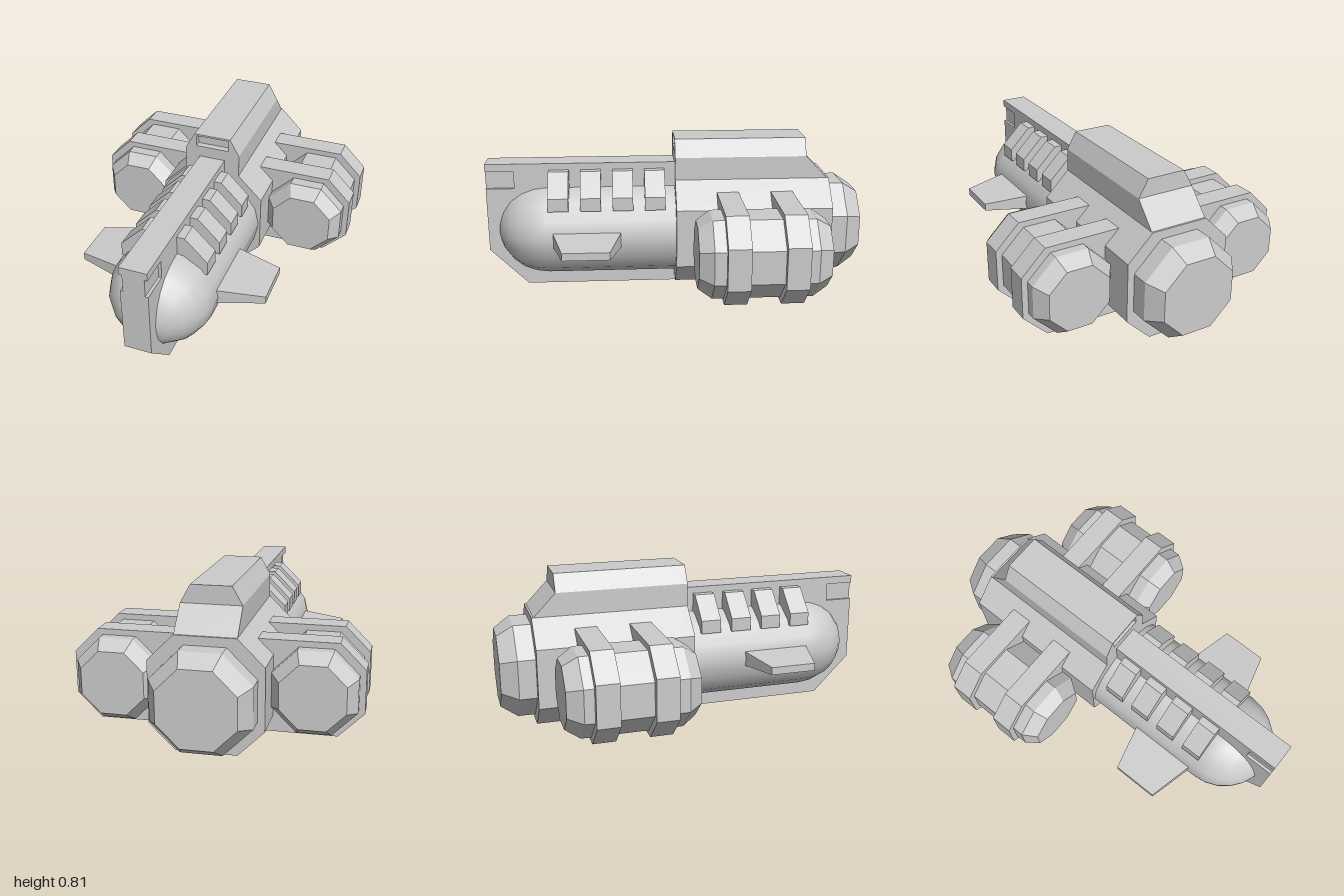
import * as THREE from 'three';

const material = new THREE.MeshStandardMaterial({ color: 0xcccccc, flatShading: true });
const smooth = new THREE.MeshStandardMaterial({ color: 0xcccccc });
const MID = 0.31; // height of the hull and engine axes

const toShape = pts => new THREE.Shape(pts.map(p => new THREE.Vector2(...p)));
const mirrored = pts => [...pts, ...pts.map(([x, y]) => [-x, y]).reverse()];

// Outline in (x, y), extruded from z0 to z1
function extrudeZ(shape, z0, z1) {
  return new THREE.ExtrudeGeometry(shape, { depth: z1 - z0, bevelEnabled: false }).translate(0, 0, z0);
}

// Outline in (z, y), extruded across x
function extrudeX(pts, width) {
  return extrudeZ(toShape(pts), -width / 2, width / 2).rotateY(-Math.PI / 2);
}

// Profile of [radius, z] turned about the z axis
function turned(profile, sides) {
  return new THREE.LatheGeometry(profile.map(p => new THREE.Vector2(...p)), sides)
    .rotateY(Math.PI / sides).rotateX(Math.PI / 2);
}

// Octagonal drum: radii are measured to the flats
function drum(profile) {
  return turned(profile.map(([r, z]) => [r / Math.cos(Math.PI / 8), z]), 8);
}

// Tapered fin from cross-sections at root and tip
function finGeometry() {
  const section = (x, z0, z1, y0, y1) => [[x, y0, z0], [x, y0, z1], [x, y1, z1], [x, y1, z0]];
  const v = [...section(0.22, 0.275, 0.65, 0.27, 0.355), ...section(0.495, 0.34, 0.58, 0.293, 0.333)];
  const index = [0, 1, 2, 0, 2, 3, 4, 6, 5, 4, 7, 6];
  for (let i = 0; i < 4; i++) {
    const j = (i + 1) % 4;
    index.push(i, i + 4, j, j, i + 4, j + 4);
  }
  const g = new THREE.BufferGeometry();
  g.setAttribute('position', new THREE.Float32BufferAttribute(v.flat(), 3));
  g.setIndex(index);
  // face the surfaces outward
  const a = g.index.array;
  const p = v.map(c => new THREE.Vector3(...c));
  const centre = p.reduce((s, c) => s.add(c), new THREE.Vector3()).divideScalar(8);
  for (let i = 0; i < a.length; i += 3) {
    const [A, B, C] = [p[a[i]], p[a[i + 1]], p[a[i + 2]]];
    const n = B.clone().sub(A).cross(C.clone().sub(A));
    if (n.dot(A.clone().sub(centre)) < 0) [a[i + 1], a[i + 2]] = [a[i + 2], a[i + 1]];
  }
  const flat = g.toNonIndexed();
  flat.computeVertexNormals();
  return flat;
}

export function createModel() {
  const model = new THREE.Group();
  const add = (name, geometry, parent = model, mat = material) => {
    const mesh = new THREE.Mesh(geometry, mat);
    mesh.name = name;
    parent.add(mesh);
    return mesh;
  };

  // Rounded front hull
  const nose = [[0.27, -0.1]];
  for (let i = 0; i <= 6; i++) {
    const t = (i / 6) * Math.PI / 2;
    nose.push([Math.max(0, 0.27 * Math.cos(t)), 0.68 + 0.27 * Math.sin(t)]);
  }
  const hull = turned(nose, 16).rotateZ(Math.PI / 16).scale(1, 0.25 / 0.27, 1).translate(0, MID, 0);
  add('hull', hull, model, smooth);

  // Keel with a notch on each side of its upper front
  add('keel', extrudeX([[0.8, 0], [1, 0.2], [1, 0.545], [0.85, 0.545], [0.85, 0.64],
    [1, 0.64], [1, 0.68], [-0.69, 0.68], [-0.69, 0], [-0.69, 0]].slice(0, 9), 0.14));
  add('keelNotchCore', new THREE.BoxGeometry(0.11, 0.095, 0.15).translate(0, 0.5925, 0.925));

  // Rear body and tower, with a recessed window in the front plate
  const lower = [[0.15, 0.03], [0.28, 0.16], [0.28, 0.47], [0.15, 0.6]];
  const full = mirrored([...lower, [0.15, 0.72], [0.1, 0.81]]);
  const plate = toShape(full);
  plate.holes.push(new THREE.Path([[-0.09, 0.74], [-0.09, 0.8], [0.09, 0.8], [0.09, 0.74]]
    .map(p => new THREE.Vector2(...p))));
  add('bodyFrontPlate', extrudeZ(plate, -0.04, -0.005));
  add('bodyTower', extrudeZ(toShape(full), -0.7, -0.04));
  add('bodyRear', extrudeZ(toShape(mirrored(lower)), -0.825, -0.7));
  add('towerRearSlope', extrudeX([[-0.825, 0.59], [-0.825, 0.5], [-0.69, 0.5], [-0.69, 0.72], [-0.7, 0.72]], 0.3));

  // Main thruster
  add('mainThruster', drum([[0, -1], [0.19, -1], [0.245, -0.915], [0.245, -0.8]]).translate(0, MID, 0));

  // Parts on both sides
  const podProfile = [[0, -0.745], [0.158, -0.745], [0.205, -0.67], [0.205, -0.16], [0.158, -0.09], [0, -0.09]];
  const strap = toShape([[0.2, 0.08], [0.595, 0.08], [0.72, 0.205], [0.72, 0.42], [0.595, 0.545], [0.2, 0.545]]);
  const rib = toShape([[0.05, 0.46], [0.225, 0.46], [0.225, 0.53], [0.11, 0.645], [0.05, 0.645]]);
  for (const [side, s] of [['left', 1], ['right', -1]]) {
    const group = new THREE.Group();
    group.name = side + 'Side';
    group.scale.x = s;
    model.add(group);

    add(side + 'EnginePod', drum(podProfile).translate(0.485, MID, 0), group);
    for (const [z0, z1] of [[-0.335, -0.22], [-0.62, -0.505]]) {
      add(side + 'EngineStrap', extrudeZ(strap, z0, z1), group);
    }
    for (let i = 0; i < 4; i++) {
      const z = 0.05 + i * 0.169;
      add(side + 'HullRib', extrudeZ(rib, z, z + 0.107), group);
    }
    add(side + 'Fin', finGeometry(), group);
  }
  return model;
}
